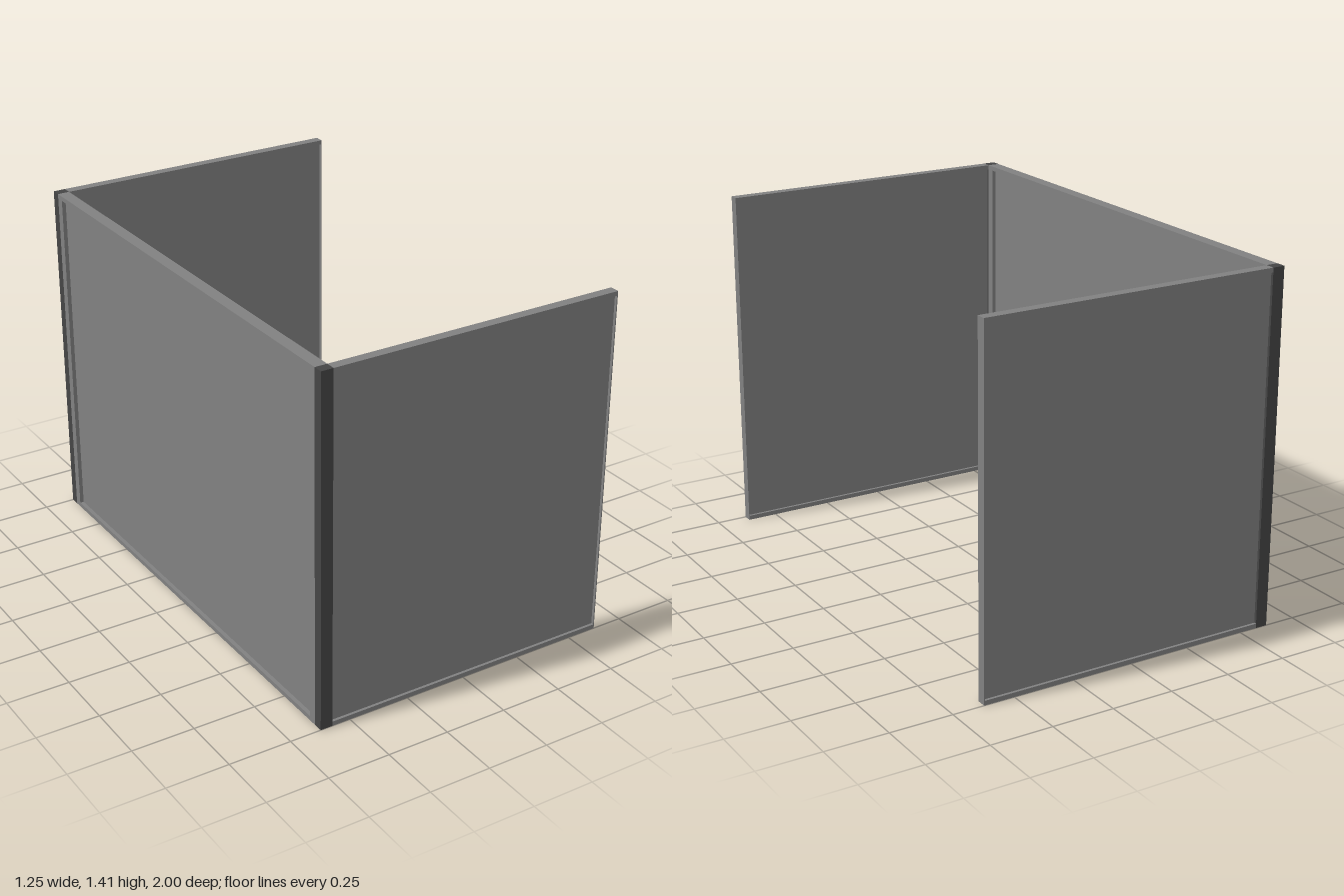
import * as THREE from 'three';

const H = 1.412;    // screen height
const X = 0.624;    // half width
const POST = 0.049; // post size along x
const T = 0.039;    // panel thickness
const RAIL = 0.018; // height of the top and bottom rails

const grey = new THREE.MeshStandardMaterial({ color: 0x818181 });
const dark = new THREE.MeshStandardMaterial({ color: 0x454545 });

function box(parent, name, [x0, x1], [y0, y1], [z0, z1], material = grey) {
  const mesh = new THREE.Mesh(new THREE.BoxGeometry(x1 - x0, y1 - y0, z1 - z0), material);
  mesh.position.set((x0 + x1) / 2, (y0 + y1) / 2, (z0 + z1) / 2);
  mesh.name = name;
  parent.add(mesh);
}

// Framed panel from x = 0 to length, centred on z = 0, with a recessed infill
function framedPanel(name, length, thickness, recess, startStile, endStile) {
  const panel = new THREE.Group();
  panel.name = name;
  const z = [-thickness / 2, thickness / 2];
  const inner = [startStile, length - endStile];
  box(panel, 'bottomRail', [0, length], [0, RAIL], z);
  box(panel, 'topRail', [0, length], [H - RAIL, H], z);
  if (startStile) box(panel, 'startStile', [0, startStile], [RAIL, H - RAIL], z);
  box(panel, 'endStile', [length - endStile, length], [RAIL, H - RAIL], z);
  box(panel, 'infill', inner, [RAIL, H - RAIL], [z[0] + recess, z[1] - recess]);
  return panel;
}

export function createModel() {
  const model = new THREE.Group();
  model.name = 'partitionScreen';

  // Two side wings with dark corner posts
  for (const [side, s] of [['front', 1], ['rear', -1]]) {
    const zc = s * (1 - T / 2);
    const wing = framedPanel(side + 'Wing', 2 * X - POST, T, 0.011, 0, 0.004);
    wing.position.set(-X + POST, 0, zc);
    model.add(wing);
    box(model, side + 'CornerPost', [-X, -X + POST], [0, H], [zc - T / 2, zc + T / 2], dark);
  }

  // Long panel between the posts
  const longPanel = framedPanel('longPanel', 2 - 2 * T, POST, 0.016, 0.033, 0.033);
  longPanel.rotation.y = Math.PI / 2;
  longPanel.position.set(-X + POST / 2, 0, 1 - T);
  model.add(longPanel);

  return model;
}
